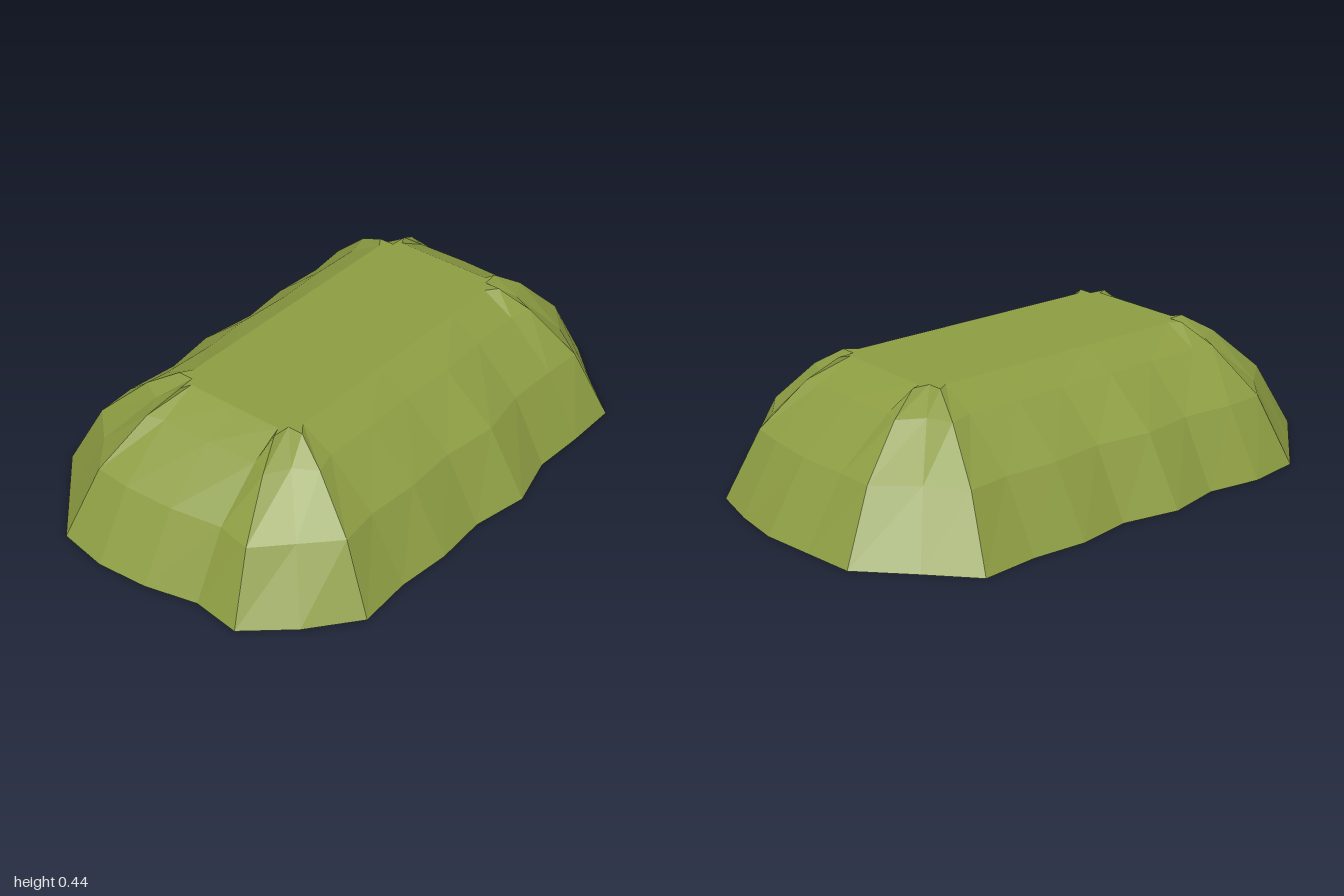
import * as THREE from 'three';

// Outline points: base x, base z, rim x, rim z (clockwise seen from above)
const outline = [
  // back side
  [-0.67, -0.64, -0.52, -0.255], [-0.48, -0.665, -0.48, -0.23], [-0.29, -0.635, -0.29, -0.23],
  [-0.10, -0.675, -0.10, -0.23], [0.10, -0.635, 0.10, -0.23], [0.29, -0.665, 0.29, -0.23],
  [0.48, -0.65, 0.48, -0.23], [0.68, -0.665, 0.52, -0.255],
  // left end with its two notched corners
  [0.81, -0.52, 0.52, -0.20], [0.96, -0.36, 0.58, -0.195], [0.98, -0.18, 0.545, -0.18],
  [1.0, 0, 0.545, 0], [0.98, 0.17, 0.545, 0.18], [0.94, 0.34, 0.58, 0.195], [0.81, 0.47, 0.52, 0.20],
  // front side
  [0.67, 0.63, 0.52, 0.255], [0.48, 0.63, 0.48, 0.225], [0.29, 0.62, 0.29, 0.225],
  [0.10, 0.67, 0.10, 0.225], [-0.10, 0.63, -0.10, 0.225], [-0.29, 0.64, -0.29, 0.225],
  [-0.48, 0.62, -0.48, 0.225], [-0.67, 0.63, -0.52, 0.255],
  // right end with its two notched corners
  [-0.83, 0.50, -0.52, 0.20], [-0.96, 0.35, -0.58, 0.195], [-0.94, 0.18, -0.545, 0.18],
  [-0.985, 0, -0.545, 0], [-1.0, -0.18, -0.545, -0.18], [-0.97, -0.36, -0.58, -0.195],
  [-0.82, -0.50, -0.52, -0.20],
];

// Height of each ring and how far it lies from the rim (0) towards the base (1)
const levels = [[0, 1], [0.225, 0.69], [0.375, 0.28], [0.44, 0]];

const rings = levels.map(([y, f]) => outline.map(([bx, bz, tx, tz]) =>
  new THREE.Vector3(tx + (bx - tx) * f, y, tz + (bz - tz) * f)));

// Unshared corners give every face its own flat normal
function facetMesh(name, triangles, material) {
  const geometry = new THREE.BufferGeometry().setFromPoints(triangles.flat());
  geometry.computeVertexNormals();
  const mesh = new THREE.Mesh(geometry, material);
  mesh.name = name;
  return mesh;
}

// Flat cap over a ring, facing up or down
function capTriangles(ring, up) {
  const flat = ring.map(p => new THREE.Vector2(p.x, p.z));
  return THREE.ShapeUtils.triangulateShape(flat, []).map(face => {
    const [a, b, c] = face.map(i => ring[i]);
    const ny = (b.z - a.z) * (c.x - a.x) - (b.x - a.x) * (c.z - a.z);
    return (ny > 0) === up ? [a, b, c] : [a, c, b];
  });
}

export function createModel() {
  const group = new THREE.Group();
  group.name = 'grassMound';
  const grass = new THREE.MeshStandardMaterial({ color: 0x8c9c42 });
  grass.name = 'grass green';

  // Faceted slopes, one band between each pair of rings
  const bandNames = ['lowerSlope', 'middleSlope', 'upperSlope'];
  bandNames.forEach((name, k) => {
    const low = rings[k], high = rings[k + 1], triangles = [];
    low.forEach((a, i) => {
      const j = (i + 1) % low.length;
      triangles.push([low[j], a, high[i]], [low[j], high[i], high[j]]);
    });
    group.add(facetMesh(name, triangles, grass));
  });

  // Flat top and underside
  group.add(facetMesh('flatTop', capTriangles(rings[3], true), grass));
  group.add(facetMesh('underside', capTriangles(rings[0], false), grass));
  return group;
}
